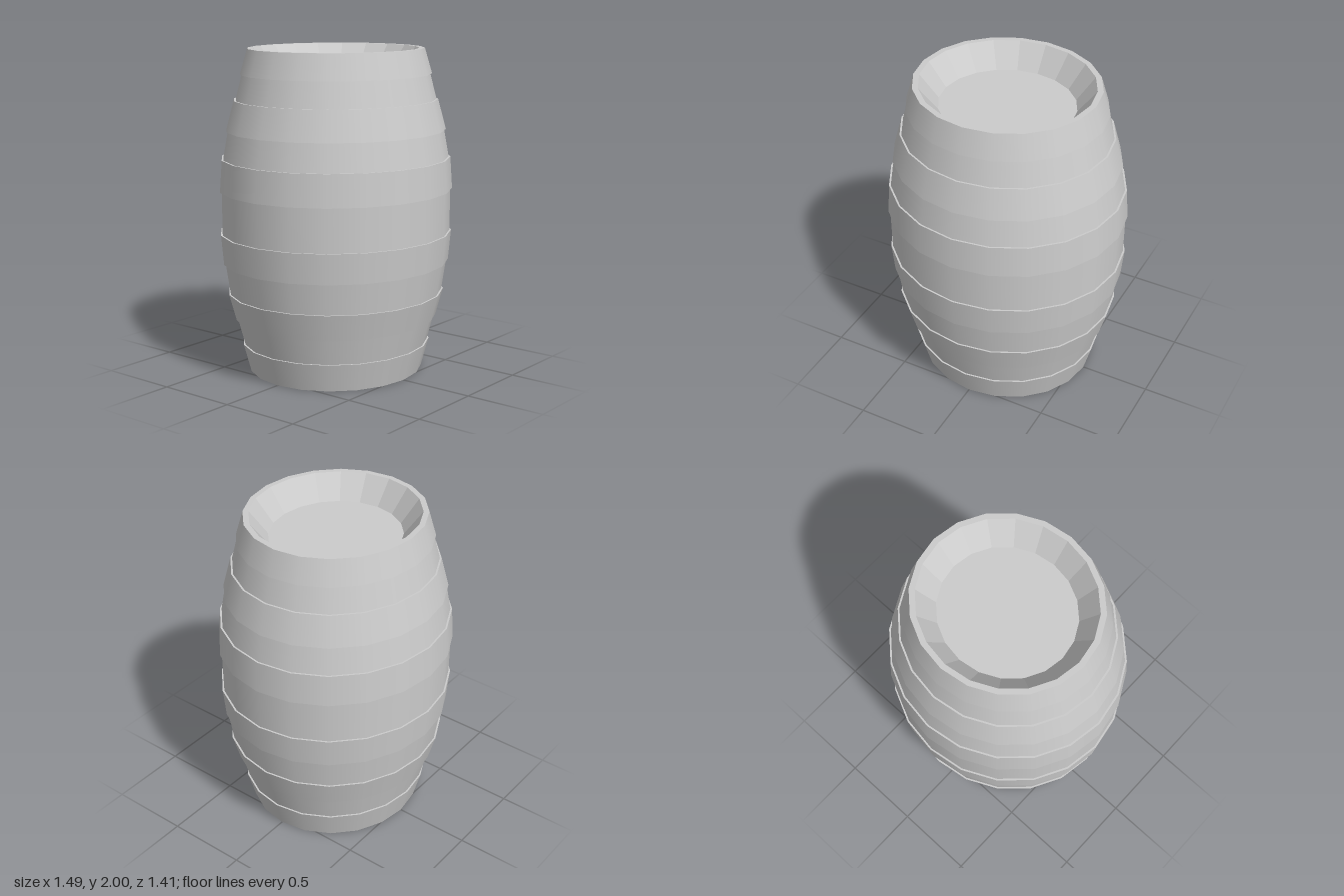
import * as THREE from 'three';

const SIDES = 20;
const DEPTH = 0.946; // the barrel is slightly oval
const STEP = 0.011; // how far hoops stand out from the staves

const smooth = new THREE.MeshStandardMaterial({ color: 0xcccccc });
const faceted = new THREE.MeshStandardMaterial({ color: 0xcccccc, flatShading: true });

// One ring of the barrel between two [radius, y] points, with crisp upper and lower edges
function ring(name, a, b, material = smooth) {
  const points = [new THREE.Vector2(...a), new THREE.Vector2(...b)];
  const geometry = new THREE.LatheGeometry(points, SIDES).scale(1, 1, DEPTH);
  const mesh = new THREE.Mesh(geometry, material);
  mesh.name = name;
  return mesh;
}

export function createModel() {
  const barrel = new THREE.Group();
  barrel.name = 'barrel';

  // Hoops from bottom to top: lower y, lower radius, upper y, upper radius
  const hoops = [
    [0, 0.56, 0.175, 0.608],
    [0.335, 0.651, 0.5, 0.697],
    [0.69, 0.726, 0.875, 0.743],
    [1.14, 0.745, 1.335, 0.731],
    [1.505, 0.699, 1.69, 0.648],
    [1.845, 0.607, 2, 0.56],
  ];

  hoops.forEach(([y0, r0, y1, r1], i) => {
    const hoop = new THREE.Group();
    hoop.name = `hoop${i + 1}`;
    hoop.add(ring('hoopBand', [r0, y0], [r1, y1]));
    if (i > 0) hoop.add(ring('hoopLowerEdge', [r0 - STEP, y0], [r0, y0], faceted));
    if (i < hoops.length - 1) hoop.add(ring('hoopUpperEdge', [r1, y1], [r1 - STEP, y1], faceted));
    barrel.add(hoop);

    // Staves showing between this hoop and the next
    const next = hoops[i + 1];
    if (next) barrel.add(ring(`staves${i + 1}`, [r1 - STEP, y1], [next[1] - STEP, next[0]]));
  });

  // Recessed ends: rim, sloping wall and flat head
  const recess = [[0.56, 2], [0.525, 2], [0.412, 1.855], [0, 1.855]];
  ['Rim', 'RecessWall', 'Head'].forEach((part, i) => {
    const [a, b] = [recess[i], recess[i + 1]];
    barrel.add(ring('top' + part, a, b, faceted));
    barrel.add(ring('bottom' + part, [b[0], 2 - b[1]], [a[0], 2 - a[1]], faceted));
  });

  return barrel;
}
